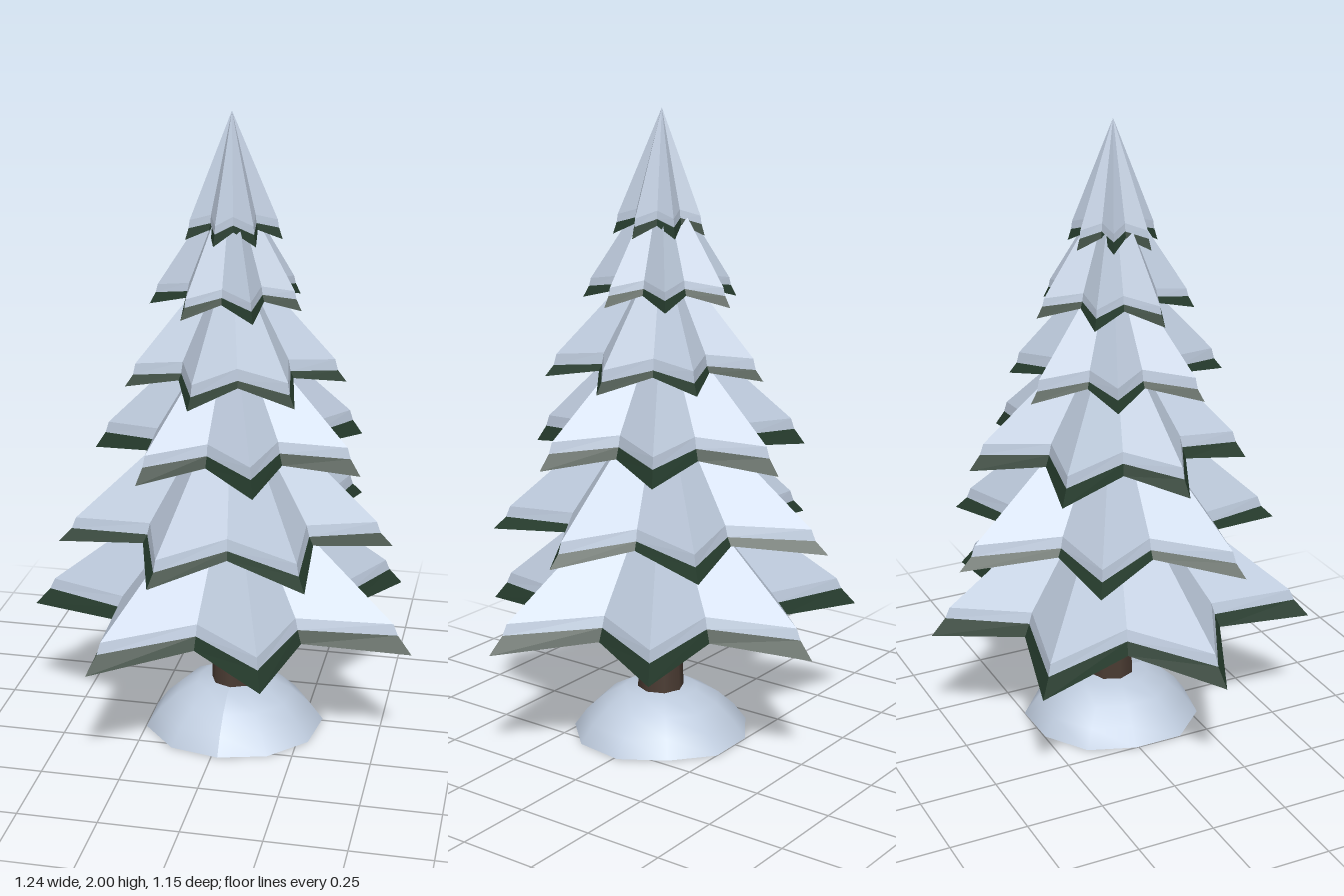
import * as THREE from 'three';

const SNOW = 0xbecbdd, GREEN = 0x263c2d, BARK = 0x4a3b32;
const CX = 0.01, CZ = 0.03, POINTS = 7;

// tip: y of the needle tips, rim: y of the snow edge, apex: top of the cone,
// turn: angle of the first point in degrees, r: length of each point
const TIERS = [
  { tip: 0.385, rim: 0.475, apex: 0.92, turn: -84, r: [0.61, 0.61, 0.64, 0.58, 0.64, 0.64, 0.64] },
  { tip: 0.67, rim: 0.745, apex: 1.18, turn: -99, r: [0.57, 0.54, 0.52, 0.54, 0.53, 0.55, 0.51] },
  { tip: 0.935, rim: 1.02, apex: 1.4, turn: -84, r: [0.47, 0.45, 0.45, 0.42, 0.42, 0.43, 0.46] },
  { tip: 1.18, rim: 1.25, apex: 1.6, turn: -106, r: [0.33, 0.33, 0.355, 0.365, 0.36, 0.34, 0.3] },
  { tip: 1.415, rim: 1.475, apex: 1.82, turn: -90, r: [0.255, 0.24, 0.23, 0.25, 0.25, 0.25, 0.24] },
  { tip: 1.62, rim: 1.68, apex: 2.0, turn: -104, r: [0.14, 0.14, 0.155, 0.15, 0.14, 0.145, 0.13] },
];

// Star-shaped ring: long points alternating with notches
function starRing(tier, tipScale, notchScale, tipY, notchY) {
  const ring = [];
  for (let i = 0; i < POINTS * 2; i++) {
    const k = i >> 1, isTip = i % 2 === 0;
    const a = THREE.MathUtils.degToRad(tier.turn + i * 180 / POINTS);
    const r = isTip
      ? tier.r[k] * tipScale
      : (tier.r[k] + tier.r[(k + 1) % POINTS]) / 2 * notchScale;
    ring.push([Math.cos(a) * r, isTip ? tipY : notchY, Math.sin(a) * r]);
  }
  return ring;
}

const pointRing = (y) => Array.from({ length: POINTS * 2 }, () => [0, y, 0]);

// Skin between successive rings, top to bottom
function loft(rings) {
  const pos = [];
  for (let j = 0; j < rings.length - 1; j++) {
    const up = rings[j], low = rings[j + 1], n = up.length;
    for (let i = 0; i < n; i++) {
      const m = (i + 1) % n;
      const topIsPoint = up[i][0] === 0 && up[i][2] === 0;
      const lowIsPoint = low[i][0] === 0 && low[i][2] === 0;
      if (!topIsPoint) pos.push(...up[i], ...up[m], ...low[m]);
      if (!lowIsPoint) pos.push(...up[i], ...low[m], ...low[i]);
    }
  }
  const g = new THREE.BufferGeometry();
  g.setAttribute('position', new THREE.Float32BufferAttribute(pos, 3));
  g.computeVertexNormals();
  return g;
}

function material(color, flat, side = THREE.FrontSide) {
  return new THREE.MeshStandardMaterial({ color, flatShading: flat, side });
}

function addMesh(parent, name, geometry, mat) {
  const mesh = new THREE.Mesh(geometry, mat);
  mesh.name = name;
  parent.add(mesh);
  return mesh;
}

export function createModel() {
  const tree = new THREE.Group();
  tree.name = 'snowyTree';
  const snow = material(SNOW, true), green = material(GREEN, true);

  // Branch tiers: a snow cap with a thick rim over a dark needle skirt
  TIERS.forEach((t, i) => {
    const tier = new THREE.Group();
    tier.name = `branchTier${i + 1}`;
    tier.position.set(CX, 0, CZ);
    tree.add(tier);
    const drop = i < 4 ? 0.035 : 0.025;
    const rimTop = starRing(t, 0.9, 0.575, t.rim, t.rim + 0.02);
    const rimLow = starRing(t, 0.925, 0.595, t.rim - drop, t.rim - drop + 0.02);
    const edge = starRing(t, 1, 0.625, t.tip, t.tip + 0.035);
    addMesh(tier, 'snowCap', loft([pointRing(t.apex), rimTop, rimLow]), snow);
    addMesh(tier, 'needleSkirt', loft([rimLow, edge, pointRing(t.tip + 0.08)]), green);
  });

  // Trunk, slightly wider at the foot
  const trunk = addMesh(tree, 'trunk', new THREE.CylinderGeometry(0.06, 0.08, 0.5, 8), material(BARK, false));
  trunk.position.set(0.02, 0.27, CZ);

  // Open snow mound around the foot, with a slightly uneven edge
  const profile = [[0.285, 0], [0.245, 0.055], [0.19, 0.105], [0.12, 0.143], [0.0, 0.148]]
    .map(([x, y]) => new THREE.Vector2(x, y));
  const moundGeo = new THREE.LatheGeometry(profile, 11);
  const p = moundGeo.attributes.position;
  for (let i = 0; i < p.count; i++) {
    const a = Math.atan2(p.getZ(i), p.getX(i));
    const s = 1 + 0.035 * Math.sin(3 * a + 0.6) + 0.02 * Math.cos(5 * a);
    p.setX(i, p.getX(i) * s);
    p.setZ(i, p.getZ(i) * s);
  }
  moundGeo.computeVertexNormals();
  const mound = addMesh(tree, 'snowMound', moundGeo, material(SNOW, false, THREE.DoubleSide));
  mound.position.set(0.02, 0, CZ);

  return tree;
}
